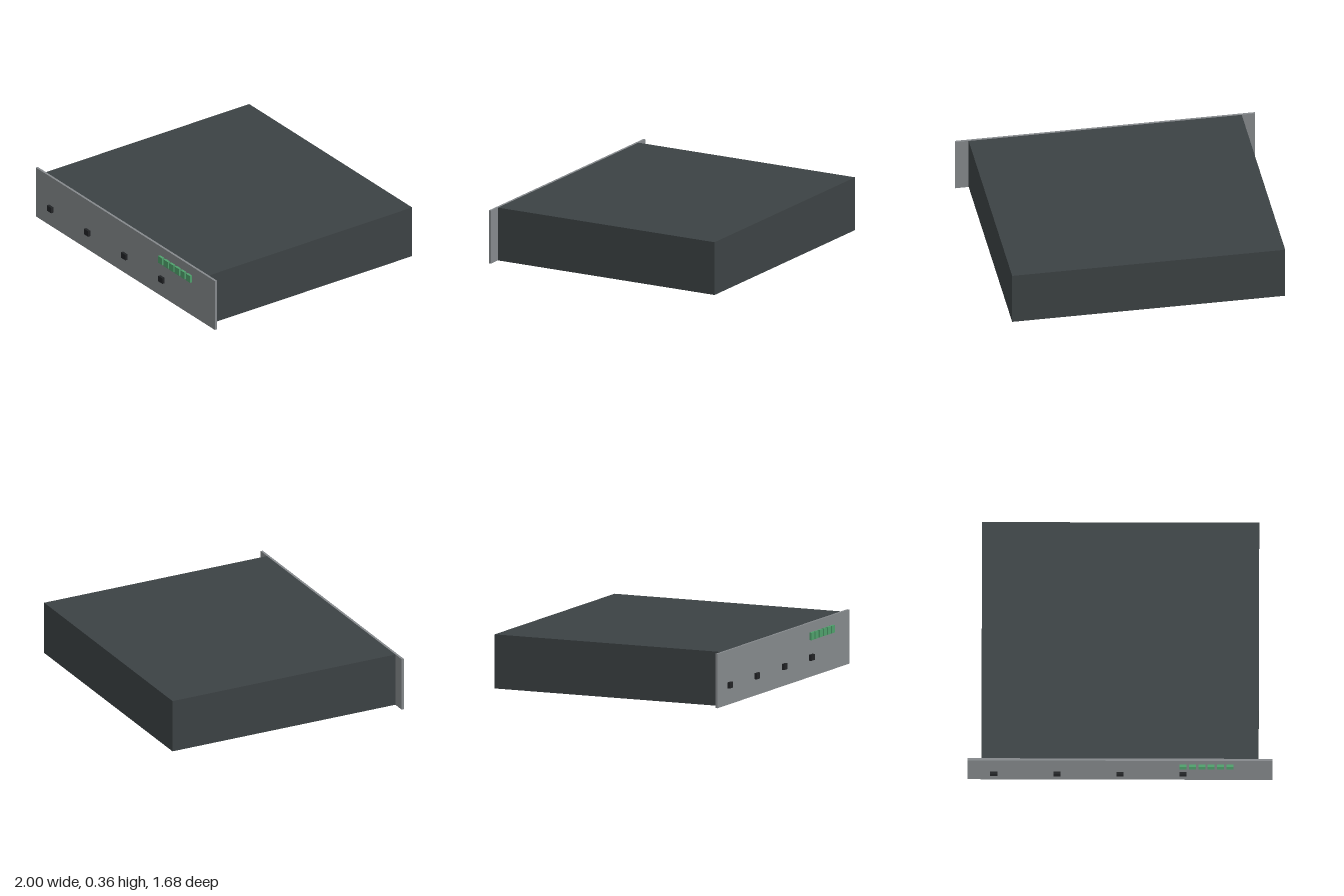
import * as THREE from 'three';

const paint = (color) => new THREE.MeshStandardMaterial({ color });

export function createModel() {
  const group = new THREE.Group();
  const dark = paint(0x3c4244);
  const grey = paint(0x85898c);
  const black = paint(0x222426);
  const green = paint(0x4fa06c);

  // Adds a box given its size and centre
  const box = (name, material, [w, h, d], [x, y, z]) => {
    const mesh = new THREE.Mesh(new THREE.BoxGeometry(w, h, d), material);
    mesh.name = name;
    mesh.position.set(x, y, z);
    group.add(mesh);
  };

  // Chassis, and the wider front plate that forms the mounting ears
  box('chassis', dark, [1.82, 0.36, 1.65], [0, 0.18, -0.017]);
  box('frontPanel', grey, [2, 0.361, 0.016], [0, 0.1805, 0.816]);

  // Row of four evenly spaced buttons
  for (let i = 0; i < 4; i++) {
    box(`button${i + 1}`, black, [0.048, 0.04, 0.018], [-0.828 + i * 0.414, 0.13, 0.833]);
  }

  // Row of six indicator lights
  for (let i = 0; i < 6; i++) {
    box(`indicator${i + 1}`, green, [0.046, 0.05, 0.017], [0.413 + i * 0.062, 0.272, 0.8335]);
  }

  return group;
}
